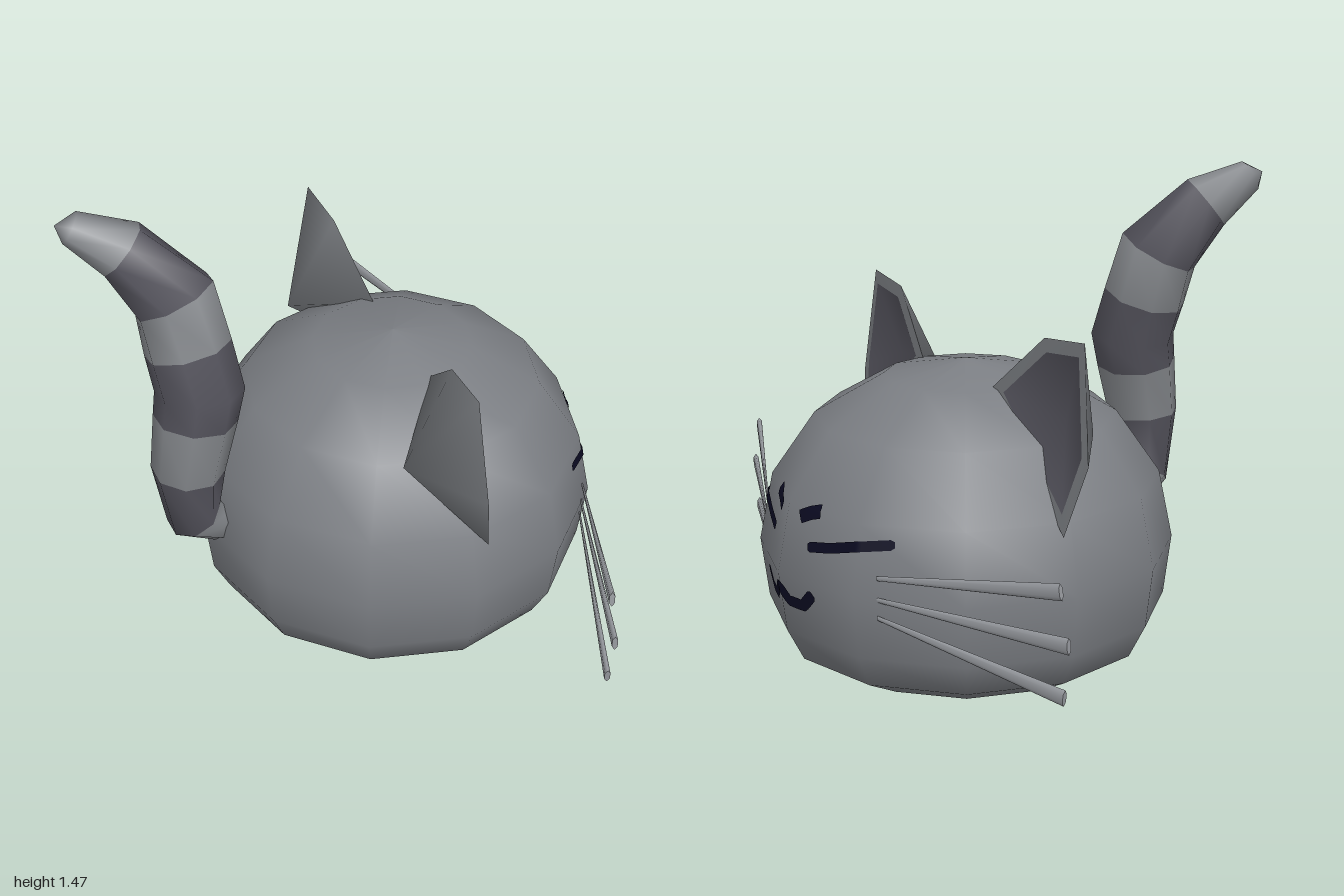
import * as THREE from 'three';

const mat = (name, color, side = THREE.FrontSide) => {
  const m = new THREE.MeshStandardMaterial({ color, side });
  m.name = name;
  return m;
};

const V = (x, y, z) => new THREE.Vector3(x, y, z);

function meshFrom(name, points, index, material) {
  const g = new THREE.BufferGeometry().setFromPoints(points);
  g.setIndex(index);
  g.computeVertexNormals();
  const m = new THREE.Mesh(g, material);
  m.name = name;
  return m;
}

// Body profile: radius, height
const CX = 0.167;
const PROFILE = [[0, 0], [0.42, 0], [0.56, 0.073], [0.612, 0.175], [0.635, 0.36],
  [0.592, 0.57], [0.458, 0.762], [0.247, 0.882], [0, 0.928]];

// Front x of the twelve-sided body at a given height and depth
function faceX(y, z) {
  let r = 0;
  for (let i = 1; i < PROFILE.length - 1; i++) {
    const [r0, y0] = PROFILE[i], [r1, y1] = PROFILE[i + 1];
    if (y >= y0 && y <= y1) r = r0 + (r1 - r0) * (y - y0) / (y1 - y0);
  }
  const flat = r * Math.cos(Math.PI / 12);
  return CX + Math.min(...[15, 45, 75].map((d) => {
    const a = d * Math.PI / 180;
    return (flat - Math.abs(z) * Math.sin(a)) / Math.cos(a);
  }));
}

// Painted stroke laid on the face; points are [z, y]
function stroke(name, pts, width, material) {
  const path = new THREE.CurvePath();
  const p2 = pts.map(([z, y]) => new THREE.Vector2(z, y));
  for (let i = 0; i + 1 < p2.length; i++) path.add(new THREE.LineCurve(p2[i], p2[i + 1]));
  const n = 32, points = [], index = [];
  for (let i = 0; i <= n; i++) {
    const p = path.getPointAt(i / n);
    const t = path.getPointAt(Math.min(1, i / n + 0.03)).sub(path.getPointAt(Math.max(0, i / n - 0.03))).normalize();
    const w = width / 2 * (i === 0 || i === n ? 0.6 : 1);
    for (const s of [-1, 0, 1]) {
      const z = p.x - t.y * w * s, y = p.y + t.x * w * s;
      points.push(V(faceX(y, z) + 0.005, y, z));
    }
    if (i < n) for (const k of [0, 1]) {
      const a = i * 3 + k;
      index.push(a, a + 1, a + 3, a + 1, a + 4, a + 3);
    }
  }
  return meshFrom(name, points, index, material);
}

// Tail: rings along a bent path, alternating colours
function makeTail(light, dark) {
  const keys = [[-0.40, 0.385, 0.01, 0.085], [-0.515, 0.455, 0.04, 0.088], [-0.53, 0.65, 0.06, 0.112],
    [-0.475, 0.92, 0.045, 0.134], [-0.508, 1.2, -0.045, 0.129], [-0.63, 1.35, -0.12, 0.092],
    [-0.765, 1.43, -0.165, 0.05]];
  const stops = [0, 1, 2, 2.65, 3.46, 4, 5, 6];
  const sides = 8, points = [], index = [];
  const at = (u) => {
    const i = Math.min(Math.floor(u), keys.length - 2);
    return keys[i].map((v, k) => v + (keys[i + 1][k] - v) * (u - i));
  };
  const us = [...new Set([...stops, 3])].sort((a, b) => a - b);
  for (const u of us) {
    const [x, y, z, r] = at(u);
    const a = at(Math.max(0, u - 0.5)), b = at(Math.min(6, u + 0.5));
    const t = V(b[0] - a[0], b[1] - a[1], b[2] - a[2]).normalize();
    const e1 = t.clone().cross(V(0, 0, 1)).normalize(), e2 = t.clone().cross(e1);
    for (let j = 0; j < sides; j++) {
      const q = (j + 0.5) / sides * Math.PI * 2;
      points.push(V(x, y, z).addScaledVector(e1, r * Math.cos(q)).addScaledVector(e2, r * Math.sin(q)));
    }
  }
  points.push(V(-0.805, 1.44, -0.175));
  const tail = meshFrom('tail', points, index, [light, dark]);
  const g = tail.geometry;
  for (let i = 0; i + 1 < us.length; i++) {
    const band = stops.filter((s) => s <= us[i]).length - 1;
    g.addGroup(index.length, sides * 6, band % 2);
    for (let j = 0; j < sides; j++) {
      const a = i * sides + j, b = i * sides + (j + 1) % sides;
      index.push(a, b, a + sides, b, b + sides, a + sides);
    }
  }
  // Rounded tip
  const last = (us.length - 1) * sides;
  g.addGroup(index.length, sides * 3, 0);
  for (let j = 0; j < sides; j++) index.push(last + j, last + (j + 1) % sides, points.length - 1);
  g.setIndex(index);
  g.computeVertexNormals();
  return tail;
}

// Ear: pointed back shell, flat rim and hollow lining
function makeEar(side, fur, lining) {
  const ear = new THREE.Group();
  ear.name = side > 0 ? 'leftEar' : 'rightEar';
  const rim = [V(0.197, 0.885, 0.21), V(0.155, 1.072, 0.43), V(0.145, 1.092, 0.622),
    V(0.165, 0.752, 0.676), V(0.205, 0.54, 0.615)];
  const apex = V(0, 0.774, 0.45);
  const n = rim.length;
  const centre = rim.reduce((s, p) => s.add(p), V(0, 0, 0)).divideScalar(n);
  const inner = rim.map((p) => p.clone().lerp(centre, 0.19));
  const floor = centre.clone().lerp(apex, 0.3);
  const backIdx = [], rimIdx = [], inIdx = [];
  for (let i = 0; i < n; i++) {
    const j = (i + 1) % n;
    backIdx.push(i, j, n);
    rimIdx.push(i, n + i, j, j, n + i, n + j);
    inIdx.push(i, n, j);
  }
  const flip = (pts) => pts.map((p) => V(p.x, p.y, p.z * side));
  ear.add(meshFrom('earBack', flip([...rim, apex]), backIdx, fur));
  ear.add(meshFrom('earRim', flip([...rim, ...inner]), rimIdx, fur));
  ear.add(meshFrom('earLining', flip([...inner, floor]), inIdx, lining));
  return ear;
}

// Whisker: thin blade widening to its tip
function makeWhisker(root, tip, material) {
  const d = tip.clone().sub(root);
  const g = new THREE.CylinderGeometry(0.024, 0.007, d.length(), 6);
  g.scale(0.4, 1, 1);
  const m = new THREE.Mesh(g, material);
  m.name = 'whisker';
  const y = d.normalize(), x = y.clone().cross(V(0, 1, 0)).normalize();
  m.quaternion.setFromRotationMatrix(new THREE.Matrix4().makeBasis(x, y, x.clone().cross(y)));
  m.position.copy(root).add(tip).multiplyScalar(0.5);
  return m;
}

export function createModel() {
  const fur = mat('grey fur', 0x7b7e83);
  const earFur = mat('ear fur', 0x777a7e, THREE.DoubleSide);
  const lining = mat('ear lining', 0x52515a, THREE.DoubleSide);
  const light = mat('light tail stripe', 0x83868a);
  const dark = mat('dark tail stripe', 0x53525b);
  const whiskerGrey = mat('whisker grey', 0x96999e);
  const ink = mat('face ink', 0x0b0b22, THREE.DoubleSide);

  const model = new THREE.Group();
  model.name = 'roundCat';

  const body = new THREE.Mesh(
    new THREE.LatheGeometry(PROFILE.map(([r, y]) => new THREE.Vector2(r, y)), 12), fur);
  body.name = 'body';
  body.position.x = CX;
  model.add(body, makeTail(light, dark));

  for (const s of [1, -1]) {
    model.add(makeEar(s, earFur, lining));
    // Whiskers: root height, tip height, tip reach
    for (const [y0, y1, z1] of [[0.428, 0.53, 0.955], [0.364, 0.392, 0.995], [0.31, 0.24, 0.975]])
      model.add(makeWhisker(V(0.665, y0, 0.365 * s), V(0.43, y1, z1 * s), whiskerGrey));
    model.add(stroke('closedEye', [[0.38, 0.522], [0.3, 0.508], [0.2, 0.48], [0.11, 0.463]].map(([z, y]) => [z * s, y]), 0.03, ink));
    model.add(stroke('brow', [[0.138, 0.572], [0.1, 0.56], [0.06, 0.54]].map(([z, y]) => [z * s, y]), 0.04, ink));
  }
  const half = [[0.148, 0.33], [0.1, 0.282], [0.04, 0.282]];
  model.add(stroke('mouth', [...half, [0, 0.322], ...half.slice().reverse().map(([z, y]) => [-z, y])], 0.036, ink));
  return model;
}
